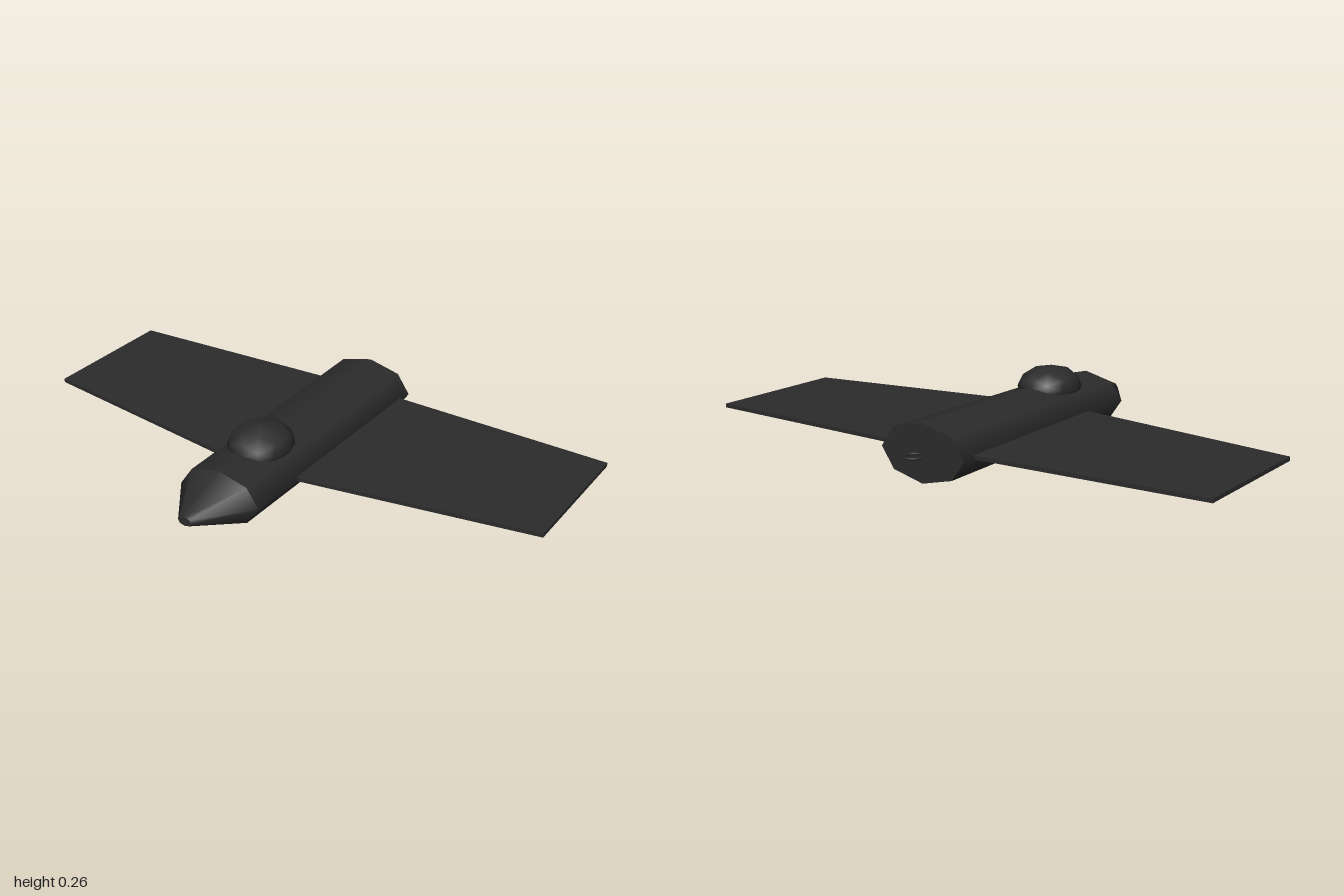
import * as THREE from 'three';

const AXIS_Y = 0.104;

export function createModel() {
  const model = new THREE.Group();
  const dark = new THREE.MeshStandardMaterial({ color: 0x2b2b2b });

  const add = (name, geometry) => {
    const mesh = new THREE.Mesh(geometry, dark);
    mesh.name = name;
    model.add(mesh);
    return mesh;
  };

  // Eight-sided tapered section along z, wider than it is tall
  const section = (name, frontRadius, rearRadius, zFront, zRear) => {
    const geometry = new THREE.CylinderGeometry(frontRadius, rearRadius, zFront - zRear, 8);
    geometry.rotateX(Math.PI / 2);
    geometry.scale(1.66, 1, 1);
    geometry.translate(0, AXIS_Y, (zFront + zRear) / 2);
    return add(name, geometry);
  };
  section('fuselage', 0.095, 0.102, 0.44, -0.55);
  section('noseCone', 0.016, 0.095, 0.63, 0.44);

  // Faceted canopy, sunk halfway into the fuselage
  const canopy = add('canopy', new THREE.IcosahedronGeometry(1, 1));
  canopy.scale.set(0.113, 0.076, 0.128);
  canopy.position.set(0, 0.189, 0.192);

  // Thin tapered wing: half outline as [x, z], mirrored to the other side
  const half = [[0, 0.235], [1, 0.075], [1, -0.46], [0, -0.497]];
  const outline = [...half, ...half.slice(1, 3).reverse().map(([x, z]) => [-x, z])];
  const shape = new THREE.Shape(outline.map(([x, z]) => new THREE.Vector2(x, -z)));
  const wingGeometry = new THREE.ExtrudeGeometry(shape, { depth: 0.014, bevelEnabled: false });
  wingGeometry.rotateX(-Math.PI / 2);
  add('wing', wingGeometry).position.y = AXIS_Y - 0.007;

  // Small flat ring behind the tail
  const ring = add('tailRing', new THREE.TorusGeometry(0.032, 0.004, 8, 16));
  ring.rotation.x = Math.PI / 2;
  ring.position.set(0, AXIS_Y, -0.594);

  return model;
}
